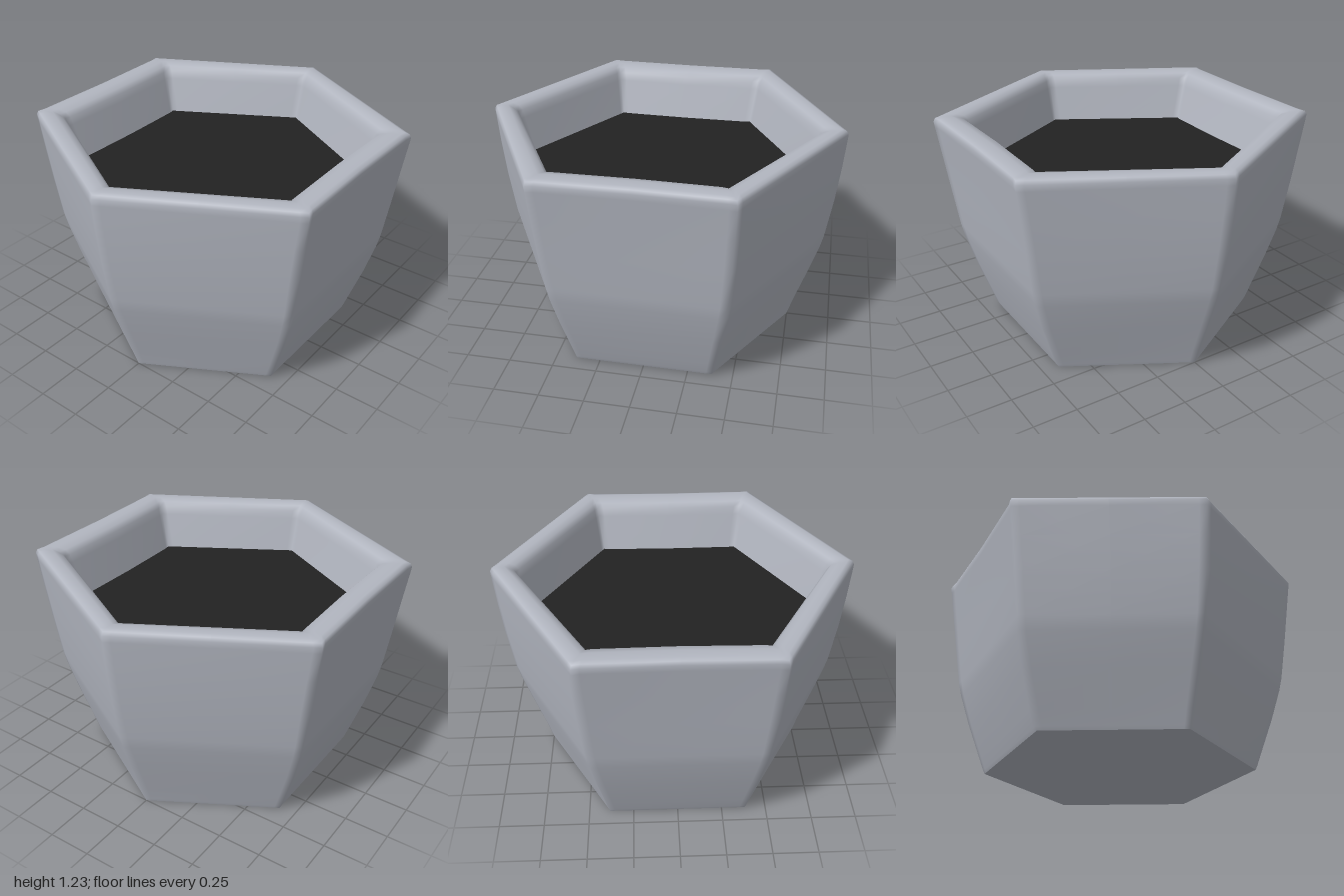
import * as THREE from 'three';

// Six-sided ring at height y: corners at +-rx on x, flat sides at +-rz on z
function hexRing([y, rx, rz]) {
  const flare = 0.012 * y; // the four z corners poke out a little near the rim
  const c = 0.51 * rx, z = rz + flare;
  const corners = [[rx, 0], [c, z], [-c, z], [-rx, 0], [-c, -z], [c, -z]];
  const points = [];
  corners.forEach(([x0, z0], i) => {
    const [x1, z1] = corners[(i + 1) % 6];
    for (const t of [0, 0.04, 0.5, 0.96]) {
      const px = x0 + (x1 - x0) * t;
      let pz = z0 + (z1 - z0) * t;
      // Keep the front and back sides flat between their flared corners
      if (t > 0 && (i === 1 || i === 4)) pz = Math.sign(pz) * (rz + (t === 0.5 ? 0 : flare * 0.5));
      points.push([px, y, pz]);
    }
  });
  return points;
}

function finish(positions, index) {
  const geometry = new THREE.BufferGeometry();
  geometry.setAttribute('position', new THREE.Float32BufferAttribute(positions.flat(), 3));
  geometry.setIndex(index);
  geometry.computeVertexNormals();
  return geometry;
}

// Smooth skin through a list of rings
function loft(profile) {
  const rings = profile.map(hexRing);
  const n = rings[0].length, index = [];
  for (let i = 0; i < rings.length - 1; i++) {
    for (let j = 0; j < n; j++) {
      const a = i * n + j, b = i * n + (j + 1) % n;
      index.push(a, a + n, b, b, a + n, b + n);
    }
  }
  return finish(rings.flat(), index);
}

// Flat six-sided cap facing up or down
function cap(section, up) {
  const ring = hexRing(section), n = ring.length, index = [];
  for (let j = 0; j < n; j++) {
    const k = (j + 1) % n;
    index.push(n, up ? k : j, up ? j : k);
  }
  return finish([...ring, [0, section[0], 0]], index);
}

export function createModel() {
  const ceramic = new THREE.MeshStandardMaterial({ color: 0xb2b6c0 });
  ceramic.name = 'greyCeramic';
  const earth = new THREE.MeshStandardMaterial({ color: 0x222222 });
  earth.name = 'darkSoil';

  const group = new THREE.Group();
  group.name = 'hexagonalPlanter';
  const add = (name, geometry, material) => {
    const mesh = new THREE.Mesh(geometry, material);
    mesh.name = name;
    group.add(mesh);
  };

  // Outer wall, rounded rim and inner wall in one skin: [y, x radius, z half depth]
  add('potWall', loft([
    [0, 0.75, 0.655], [0.02, 0.757, 0.664], [0.1, 0.78, 0.69], [0.3, 0.847, 0.753],
    [0.48, 0.905, 0.8], [0.56, 0.925, 0.815], [0.8, 0.962, 0.845], [1.0, 0.984, 0.87],
    [1.17, 0.998, 0.893], [1.205, 1.0, 0.897], [1.225, 0.988, 0.888], [1.233, 0.965, 0.865],
    [1.233, 0.92, 0.81], [1.222, 0.885, 0.765], [1.195, 0.862, 0.742], [1.15, 0.85, 0.73],
    [0.93, 0.795, 0.668],
  ]), ceramic);
  add('potBase', cap([0, 0.75, 0.655], false), ceramic);
  add('soil', cap([0.95, 0.8, 0.674], true), earth);
  return group;
}
